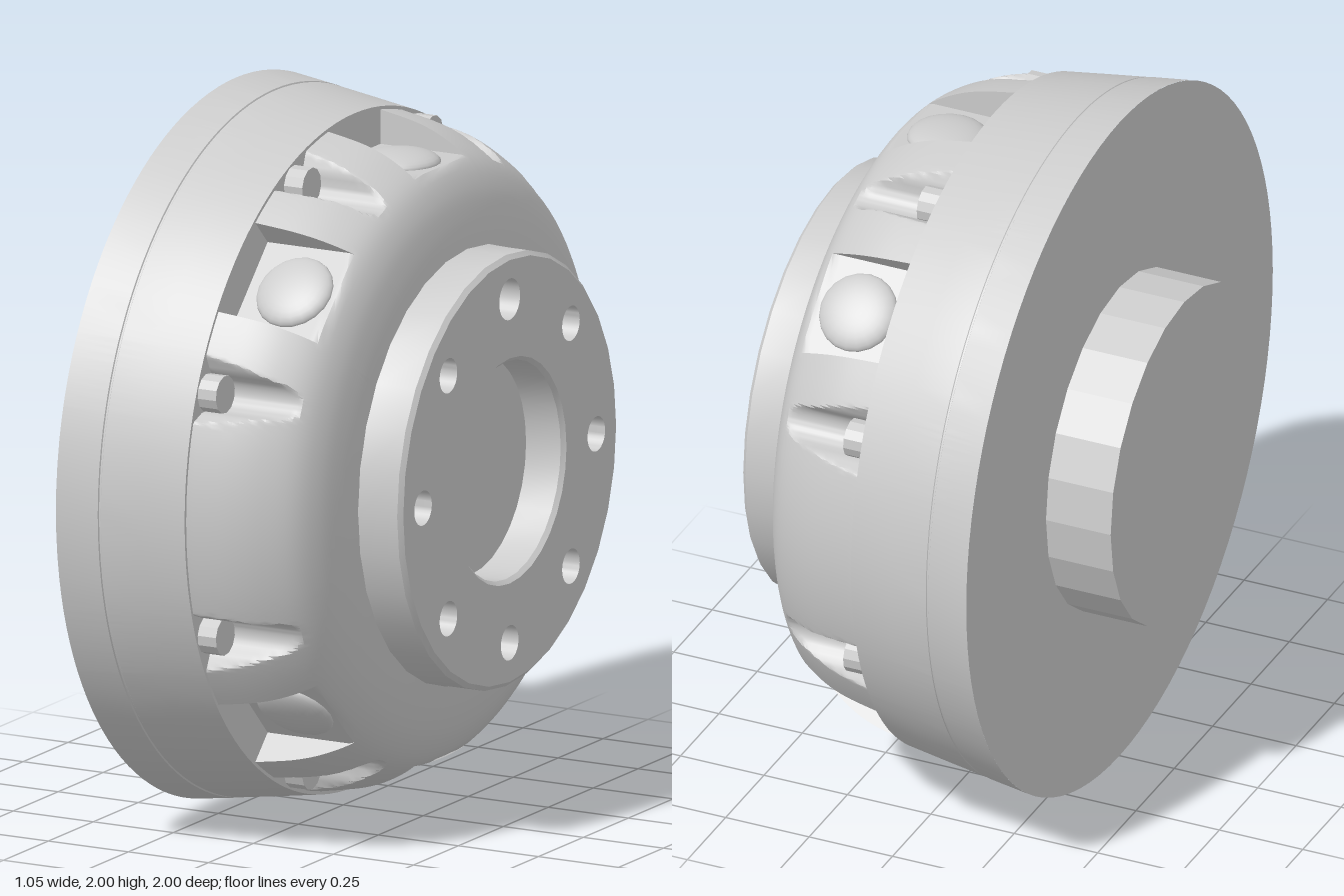
import * as THREE from 'three';
import { toCreasedNormals } from 'three/addons/utils/BufferGeometryUtils.js';

const V2 = (x, y) => new THREE.Vector2(x, y);

// Everything is built around the local z axis, then turned so the axle lies along x.
export function createModel() {
  const root = new THREE.Group();
  root.name = 'wheelHub';
  const mat = new THREE.MeshStandardMaterial({ color: 0xcccccc });
  const flat = new THREE.MeshStandardMaterial({ color: 0xcccccc, flatShading: true });

  const add = (name, geo, parent = root, material = mat) => {
    const mesh = new THREE.Mesh(geo, material);
    mesh.name = name;
    parent.add(mesh);
    return mesh;
  };
  // Surface of revolution from [radius, z] pairs, z rising for outward faces
  const lathe = (pts, sides) => toCreasedNormals(
    new THREE.LatheGeometry(pts.map(p => V2(...p)), sides).rotateX(Math.PI / 2), 0.5);

  // Pocket sizes
  const STEP = Math.PI / 8;
  const RECT_HALF = 0.145, RECT_FLOOR = 0.828;
  const PIN_R = 0.053, PIN_CENTRE = 0.887, V_HALF = 0.105;
  const isRect = k => k % 2 === 0 && k % 8 !== 0;
  const isNarrow = k => k % 2 === 1;

  // Columns around the rim: sector angle, sideways offset t, pocket floor height u
  const columns = [];
  for (let k = 0; k < 16; k++) {
    const a = k * STEP;
    const plain = d => columns.push({ a: a + d, t: 0, u: Infinity });
    plain(-STEP / 2);
    if (isRect(k)) {
      columns.push({ a, t: -RECT_HALF, u: Infinity });
      for (let i = 0; i <= 6; i++) columns.push({ a, t: RECT_HALF * (i / 3 - 1), u: RECT_FLOOR });
      columns.push({ a, t: RECT_HALF, u: Infinity });
    } else if (isNarrow(k)) {
      plain(-STEP * 0.38);
      for (let i = -14; i <= 14; i++) {
        const t = V_HALF * i / 14, s = Math.abs(t);
        const u = s < PIN_R
          ? PIN_CENTRE - Math.sqrt(PIN_R ** 2 - s * s)
          : PIN_CENTRE + (s - PIN_R) * 1.1;
        columns.push({ a, t, u });
      }
      plain(STEP * 0.38);
    } else {
      for (let i = -2; i <= 2; i++) plain(i * STEP / 6);
    }
  }

  // Rings along the axle: plain drum first, then the rounded shoulder cut by the pockets
  const rings = [[-0.336, 1], [-0.215, 0.983], [-0.213, 0.979], [-0.208, 0.979], [-0.206, 0.981],
    [-0.09, 0.964], [0.035, 0.945], [0.035, 0.936]].map(([z, r]) => ({ z, r, cut: false }));
  const shoulder = new THREE.SplineCurve([
    V2(0.035, 0.936), V2(0.15, 0.913), V2(0.235, 0.88), V2(0.31, 0.83),
    V2(0.352, 0.765), V2(0.375, 0.685), V2(0.388, 0.6)]);
  for (const p of shoulder.getSpacedPoints(30)) rings.push({ z: p.x, r: p.y, cut: true });

  const point = (ring, c) => {
    const top = Math.sqrt(ring.r ** 2 - c.t ** 2);
    const u = ring.cut ? Math.min(top, c.u) : top;
    const cos = Math.cos(c.a), sin = Math.sin(c.a);
    return new THREE.Vector3(u * cos - c.t * sin, u * sin + c.t * cos, ring.z);
  };
  const grid = rings.map(ring => columns.map(c => point(ring, c)));
  const positions = [];
  const triangle = (a, b, c) => {
    if (new THREE.Triangle(a, b, c).getArea() < 1e-9) return;
    for (const v of [a, b, c]) positions.push(v.x, v.y, v.z);
  };
  for (let j = 0; j < rings.length - 1; j++) {
    for (let i = 0; i < columns.length; i++) {
      const n = (i + 1) % columns.length;
      triangle(grid[j][i], grid[j][n], grid[j + 1][n]);
      triangle(grid[j][i], grid[j + 1][n], grid[j + 1][i]);
    }
  }
  const bodyGeo = new THREE.BufferGeometry();
  bodyGeo.setAttribute('position', new THREE.Float32BufferAttribute(positions, 3));
  add('drumBody', toCreasedNormals(bodyGeo, 0.5));

  // Back plate and rear hub
  add('backPlate', new THREE.CircleGeometry(1, 96).rotateY(Math.PI)).position.z = -0.336;
  add('rearHub', new THREE.CylinderGeometry(0.48, 0.48, 0.2, 24).rotateX(Math.PI / 2),
    root, flat).position.z = -0.43;

  // Front flange face with a bore and eight bolt holes, the top one a little larger
  const face = new THREE.Shape().absarc(0, 0, 0.592, 0, Math.PI * 2);
  face.holes.push(new THREE.Path().absarc(0, 0, 0.316, 0, Math.PI * 2, true));
  for (let i = 0; i < 8; i++) {
    const a = i * Math.PI / 4;
    face.holes.push(new THREE.Path().absarc(0.482 * Math.cos(a), 0.482 * Math.sin(a),
      i === 2 ? 0.058 : 0.049, 0, Math.PI * 2, true));
  }
  add('flangeFace', toCreasedNormals(new THREE.ExtrudeGeometry(face,
    { depth: 0.12, bevelEnabled: false, curveSegments: 16 }), 0.5)).position.z = 0.4;
  add('flangeRim', lathe([[0.615, 0.36], [0.605, 0.395], [0.605, 0.508], [0.592, 0.52]], 32));
  add('flangeBore', lathe([[0.316, 0.52], [0.305, 0.508], [0.305, 0.4]], 32));
  add('flangeFloor', new THREE.CircleGeometry(0.6, 32)).position.z = 0.4;

  // Domes on the square pocket floors and pins in the narrow pockets
  for (let k = 0; k < 16; k++) {
    const spoke = new THREE.Group();
    spoke.rotation.z = k * STEP;
    if (isRect(k)) {
      spoke.name = 'pocketDome';
      const dome = add('dome', new THREE.SphereGeometry(1, 20, 8, 0, Math.PI * 2, 0, Math.PI / 2)
        .scale(0.112, 0.035, 0.112).rotateZ(-Math.PI / 2), spoke);
      dome.position.set(RECT_FLOOR, 0, 0.178);
    } else if (isNarrow(k)) {
      spoke.name = 'pocketPin';
      const pin = add('pin', new THREE.CylinderGeometry(PIN_R, PIN_R, 0.07, 12)
        .rotateX(Math.PI / 2), spoke, flat);
      pin.position.set(PIN_CENTRE, 0, 0.057);
    } else continue;
    root.add(spoke);
  }

  root.rotation.y = Math.PI / 2;
  root.position.y = 1;
  const model = new THREE.Group();
  model.name = 'model';
  model.add(root);
  return model;
}
